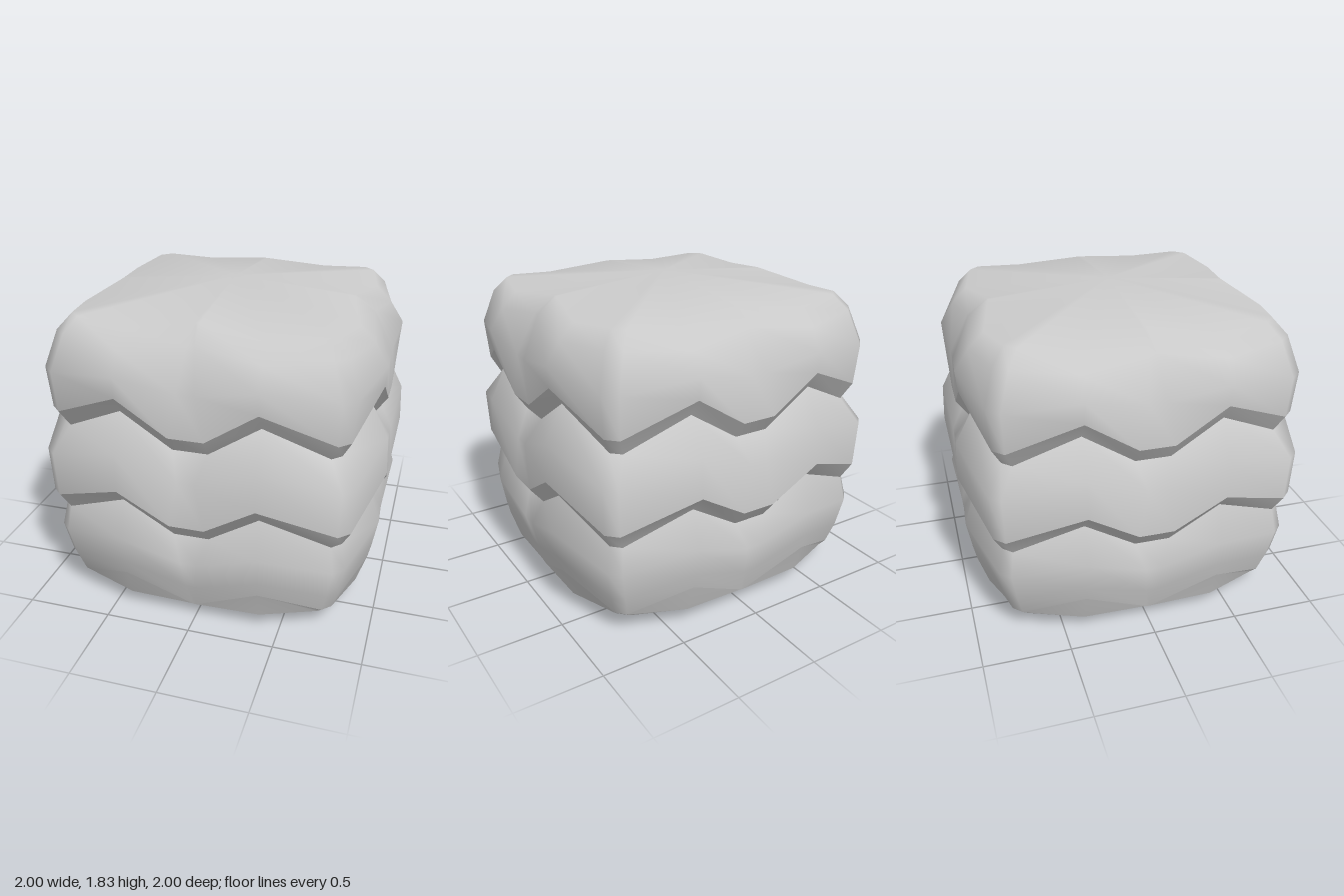
import * as THREE from 'three';
import { mergeVertices } from 'three/addons/utils/BufferGeometryUtils.js';

// One ring of 24 points round a rounded square. Each station is [distance, height]:
// corner = chamfered corner, peak = raised quarter point, mid = middle of a side.
function ring(corner, peak, mid, midHalf = 0.05, chamfer = 0.06, peakX = 0.39) {
  const side = [
    [-(corner[0] - chamfer), corner],
    [-peakX, peak],
    [-midHalf, mid],
    [midHalf, mid],
    [peakX, peak],
    [corner[0] - chamfer, corner],
  ];
  const pts = [];
  for (let k = 0; k < 4; k++) {
    for (const [x0, [d, y]] of side) {
      let x = x0, z = d;
      for (let r = 0; r < k; r++) [x, z] = [z, -x];
      pts.push([x, y, z]);
    }
  }
  return pts;
}

// A ring closed to a single point on the axis
const point = (y) => ring([0, y], [0, y], [0, y], 0, 0, 0);

// Skin a list of rings from top to bottom
function loft(rings) {
  const n = rings[0].length, index = [];
  for (let j = 0; j < rings.length - 1; j++) {
    for (let i = 0; i < n; i++) {
      const a = j * n + i, b = j * n + (i + 1) % n, c = a + n, d = b + n;
      index.push(a, c, d, a, d, b);
    }
  }
  const g = new THREE.BufferGeometry();
  g.setAttribute('position', new THREE.Float32BufferAttribute(rings.flat(2), 3));
  g.setIndex(index);
  const merged = mergeVertices(g);
  merged.computeVertexNormals();
  return merged;
}

export function createModel() {
  const group = new THREE.Group();
  const material = new THREE.MeshStandardMaterial({ color: 0xcccccc, side: THREE.DoubleSide });
  const add = (name, rings) => {
    const mesh = new THREE.Mesh(loft(rings), material);
    mesh.name = name;
    group.add(mesh);
  };

  // Zigzag edges shared by neighbouring parts
  const upperLip = ring([0.84, 1.22], [0.95, 1.39], [0.95, 1.2], 0.1);
  const upperTuck = ring([0.79, 1.12], [0.88, 1.29], [0.88, 1.1], 0.1, 0.05);
  const lowerLip = ring([0.87, 0.7], [1.0, 0.86], [0.98, 0.68], 0.1);
  const lowerTuck = ring([0.82, 0.6], [0.91, 0.76], [0.9, 0.58], 0.1, 0.05);
  const bottomRim = ring([0.78, 0.14], [0.93, 0.28], [0.87, 0.09], 0.01, 0.05);

  // Top tier with its shallow dome
  add('topTier', [
    point(1.83),
    ring([0.73, 1.745], [0.79, 1.72], [0.71, 1.765], 0.01, 0.06),
    ring([0.8, 1.66], [0.88, 1.63], [0.83, 1.68], 0.02, 0.07),
    ring([0.86, 1.46], [0.96, 1.51], [0.94, 1.45], 0.05, 0.07),
    upperLip,
  ]);
  add('upperUndercut', [upperLip, upperTuck]);

  // Middle tier
  add('middleTier', [
    upperTuck,
    ring([0.88, 0.97], [0.99, 1.08], [0.97, 0.95]),
    lowerLip,
  ]);
  add('lowerUndercut', [lowerLip, lowerTuck]);

  // Bottom tier
  add('bottomTier', [
    lowerTuck,
    ring([0.85, 0.45], [0.98, 0.54], [0.96, 0.43]),
    ring([0.82, 0.27], [0.95, 0.37], [0.92, 0.25], 0.03),
    bottomRim,
  ]);

  // Slightly pointed underside
  add('rimBevel', [bottomRim, ring([0.76, 0.11], [0.87, 0.1], [0.865, 0.088], 0.01, 0.06)]);
  add('base', [
    ring([0.76, 0.11], [0.87, 0.1], [0.865, 0.088], 0.01, 0.06),
    point(0),
  ]);
  return group;
}
